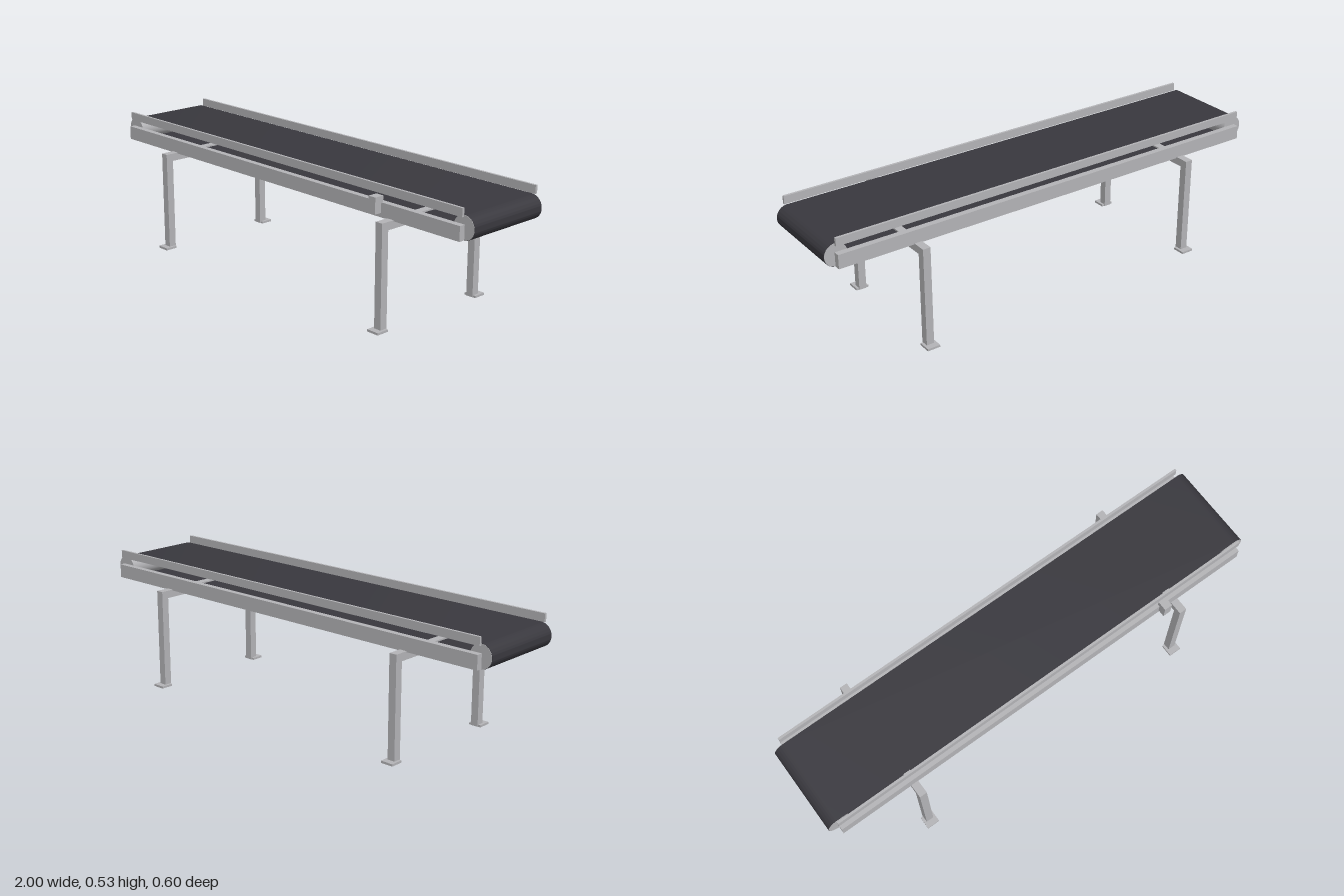
import * as THREE from 'three';
import { toCreasedNormals } from 'three/addons/utils/BufferGeometryUtils.js';

const AXLE_X = 0.953, AXLE_Y = 0.458, BELT_R = 0.047;

// Stadium outline around the two end rollers
function loop(path, r) {
  path.moveTo(-AXLE_X, -r);
  path.lineTo(AXLE_X, -r);
  path.absarc(AXLE_X, 0, r, -Math.PI / 2, Math.PI / 2, false);
  path.lineTo(-AXLE_X, r);
  path.absarc(-AXLE_X, 0, r, Math.PI / 2, Math.PI * 1.5, false);
  return path;
}

export function createModel() {
  const model = new THREE.Group();
  model.name = 'conveyor';
  const metal = new THREE.MeshStandardMaterial({ color: 0xb4b4b7 });
  metal.name = 'grey metal';
  const rubber = new THREE.MeshStandardMaterial({ color: 0x39383e });
  rubber.name = 'dark rubber';

  function add(parent, name, geometry, material, x = 0, y = 0, z = 0) {
    const mesh = new THREE.Mesh(geometry, material);
    mesh.name = name;
    mesh.position.set(x, y, z);
    parent.add(mesh);
    return mesh;
  }

  // Box given by its limits on each axis
  function box(parent, name, [x0, x1], [y0, y1], [z0, z1]) {
    return add(parent, name, new THREE.BoxGeometry(x1 - x0, y1 - y0, z1 - z0), metal,
      (x0 + x1) / 2, (y0 + y1) / 2, (z0 + z1) / 2);
  }

  // Hollow belt loop
  const beltShape = loop(new THREE.Shape(), BELT_R);
  beltShape.holes.push(loop(new THREE.Path(), BELT_R - 0.002));
  const beltGeometry = new THREE.ExtrudeGeometry(beltShape, {
    depth: 0.367, bevelEnabled: false, curveSegments: 24,
  });
  beltGeometry.translate(0, 0, -0.1835);
  add(model, 'belt', toCreasedNormals(beltGeometry, 0.6), rubber, 0, AXLE_Y, 0);

  // End rollers inside the belt
  for (const side of [-1, 1]) {
    const roller = add(model, 'endRoller',
      new THREE.CylinderGeometry(BELT_R - 0.001, BELT_R - 0.001, 0.37, 40), metal,
      side * AXLE_X, AXLE_Y, 0);
    roller.rotation.x = Math.PI / 2;
  }

  // Side frames and raised guide rails
  for (const side of [-1, 1]) {
    const span = (a, b) => (side > 0 ? [a, b] : [-b, -a]);
    box(model, 'sideFrame', [-0.96, 0.96], [0.415, 0.472], span(0.19, 0.215));
    box(model, 'guideRail', [-0.96, 0.96], [0.501, 0.534], span(0.195, 0.205));
  }

  // Control box on the front side frame
  box(model, 'controlBox', [0.553, 0.588], [0.432, 0.496], [0.205, 0.246]);

  // Two portal stands, each with a crossbar, two legs and foot plates
  for (const x of [-0.634, 0.634]) {
    const stand = new THREE.Group();
    stand.name = 'stand';
    stand.position.x = x;
    model.add(stand);
    box(stand, 'crossbar', [-0.016, 0.016], [0.387, 0.419], [-0.241, 0.241]);
    for (const side of [-1, 1]) {
      const span = (a, b) => (side > 0 ? [a, b] : [-b, -a]);
      box(stand, 'leg', [-0.016, 0.016], [0.001, 0.419], span(0.241, 0.273));
      box(stand, 'footPlate', [-0.027, 0.027], [0, 0.009], span(0.245, 0.298));
    }
  }
  return model;
}
